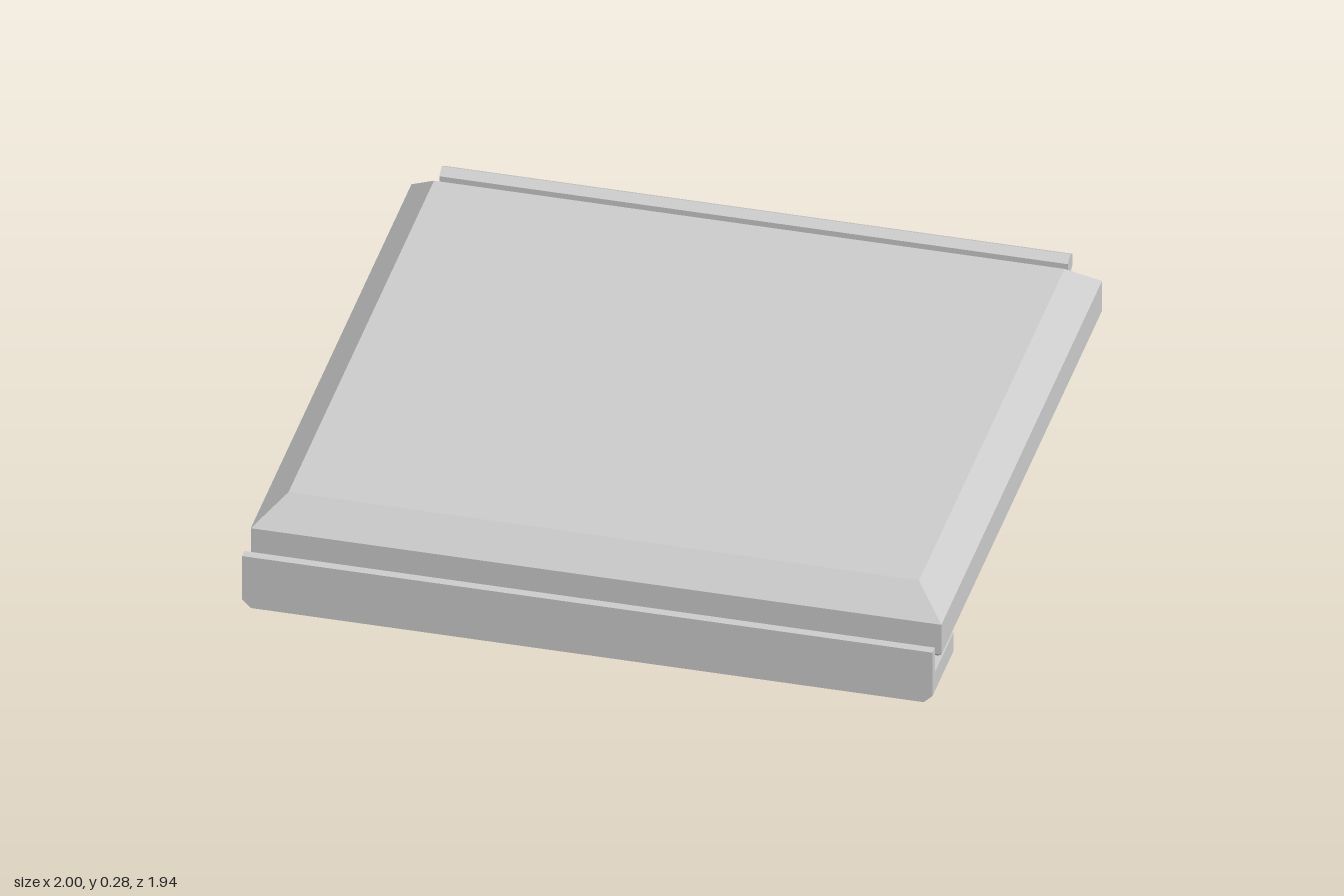
import * as THREE from 'three';

const material = new THREE.MeshStandardMaterial({ color: 0xcccccc, flatShading: true });

// Closed solid through stacked rectangles, each [y, halfWidth, zBack, zFront], from bottom to top
function stackedSolid(name, rings) {
  const points = [];
  for (const [y, w, zBack, zFront] of rings) {
    points.push(-w, y, zFront, w, y, zFront, w, y, zBack, -w, y, zBack);
  }
  const index = [0, 2, 1, 0, 3, 2];
  for (let r = 0; r < rings.length - 1; r++) {
    for (let i = 0; i < 4; i++) {
      const a = r * 4 + i, b = r * 4 + (i + 1) % 4;
      index.push(a, b, b + 4, a, b + 4, a + 4);
    }
  }
  const t = (rings.length - 1) * 4;
  index.push(t, t + 1, t + 2, t, t + 2, t + 3);
  const indexed = new THREE.BufferGeometry();
  indexed.setAttribute('position', new THREE.Float32BufferAttribute(points, 3));
  indexed.setIndex(index);
  const geometry = indexed.toNonIndexed();
  geometry.computeVertexNormals();
  const mesh = new THREE.Mesh(geometry, material);
  mesh.name = name;
  return mesh;
}

export function createModel() {
  const model = new THREE.Group();
  model.name = 'bevelledPanel';

  // Main slab: small chamfer below, wide bevel above
  model.add(stackedSolid('slab', [
    [0.085, 0.985, -0.935, 0.855],
    [0.1, 1, -0.95, 0.87],
    [0.2, 1, -0.95, 0.87],
    [0.28, 0.913, -0.865, 0.783],
  ]));

  // Front hook rail: chamfered base stepping in to a thin upright lip
  model.add(stackedSolid('hookRail', [
    [0, 0.975, 0.755, 0.97],
    [0.025, 1, 0.73, 0.97],
    [0.087, 1, 0.73, 0.97],
    [0.087, 1, 0.943, 0.97],
    [0.17, 1, 0.943, 0.97],
  ]));

  // Six-sided rod along the back bevel
  const rod = new THREE.Mesh(new THREE.CylinderGeometry(0.032, 0.032, 1.82, 6), material);
  rod.geometry.rotateY(Math.PI / 2).rotateZ(Math.PI / 2);
  rod.position.set(0, 0.248, -0.942);
  rod.name = 'backRod';
  model.add(rod);

  return model;
}
